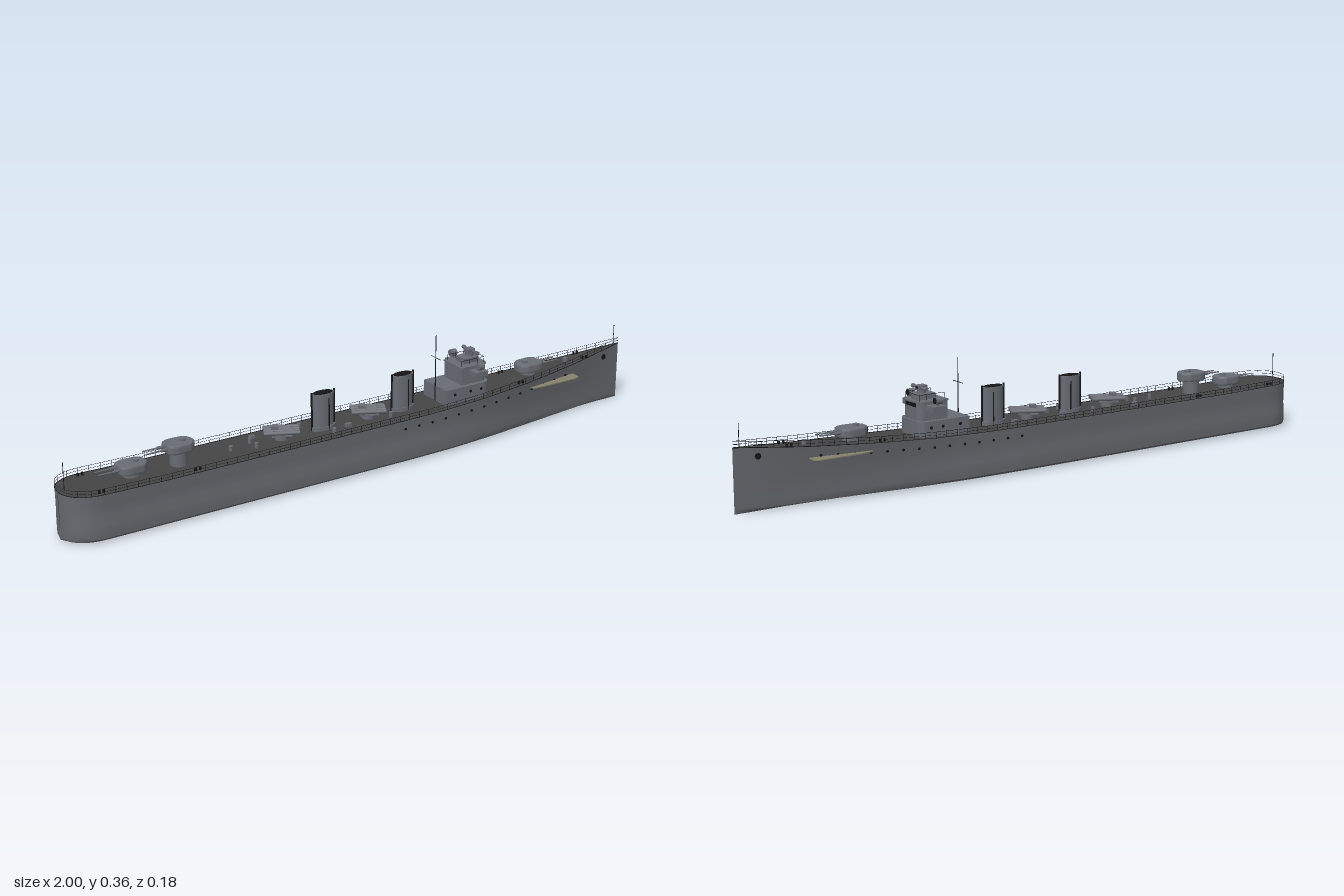
import * as THREE from 'three';
import { mergeGeometries, toCreasedNormals } from 'three/addons/utils/BufferGeometryUtils.js';

const mat = (name, color, side = THREE.FrontSide) => {
  const m = new THREE.MeshStandardMaterial({ color, side });
  m.name = name;
  return m;
};

// Piecewise-linear lookup
const lerpTable = (table, x) => {
  if (x <= table[0][0]) return table[0][1];
  for (let i = 1; i < table.length; i++) {
    const [x0, a] = table[i - 1], [x1, b] = table[i];
    if (x <= x1) return a + (b - a) * (x - x0) / (x1 - x0);
  }
  return table[table.length - 1][1];
};
const SHEER = [[-1, .148], [-.7, .143], [.2, .143], [.4, .148], [.6, .158], [.8, .171], [1, .189]];
const DECK = [[.1, .087], [.3, .084], [.42, .079], [.55, .069], [.68, .054], [.8, .036], [.9, .019], [1, .0008]];
const WATER = [[.1, .09], [.28, .086], [.42, .074], [.55, .058], [.68, .041], [.8, .025], [.9, .012], [1, .0008]];
const deckY = x => lerpTable(SHEER, x);
const sternRound = x => x > -.89 ? 1 : Math.max(.02, Math.pow(1 - Math.pow((-.89 - x) / .11, 2.3), 1 / 2.3));
const deckHalf = x => lerpTable(DECK, x) * sternRound(x);
const waterHalf = x => lerpTable(WATER, x) * sternRound(x);

// Half section from deck edge down to keel: [z, y]
const section = x => {
  const d = deckHalf(x), w = waterHalf(x), h = deckY(x);
  return [[d, h], [d * .55 + w * .42, h * .75], [d * .2 + w * .755, .078], [w, .056],
    [w, .03], [w * .995, .016], [w * .93, .009], [w * .5, .004], [0, .001]];
};
const hullZ = (x, y) => lerpTable(section(x).map(([z, v]) => [v, z]).reverse(), y);

const STATIONS = [];
for (let i = 0; i < 12; i++) STATIONS.push(-.89 - .11 * Math.cos(i / 12 * Math.PI / 2));
for (let i = 0; i <= 44; i++) STATIONS.push(-.89 + 1.89 * i / 44);

function loft(rings) {
  const p = [];
  for (let i = 0; i < rings.length - 1; i++) for (let j = 0; j < rings[i].length - 1; j++) {
    const a = rings[i][j], b = rings[i][j + 1], c = rings[i + 1][j + 1], d = rings[i + 1][j];
    p.push(...a, ...b, ...c, ...a, ...c, ...d);
  }
  const g = new THREE.BufferGeometry();
  g.setAttribute('position', new THREE.Float32BufferAttribute(p, 3));
  g.computeVertexNormals();
  return toCreasedNormals(g, .6);
}

export function createModel() {
  const ship = new THREE.Group();
  ship.name = 'warship';
  const hullGrey = mat('hull grey', 0x65686d, THREE.DoubleSide);
  const grey = mat('superstructure grey', 0x686c73);
  const deckGrey = mat('deck dark grey', 0x454546);
  const black = mat('black fittings', 0x141416);
  const khaki = mat('platform khaki', 0x85836c, THREE.DoubleSide);

  const add = (name, geo, m, x = 0, y = 0, z = 0, parent = ship) => {
    const o = new THREE.Mesh(geo, m);
    o.name = name;
    o.position.set(x, y, z);
    parent.add(o);
    return o;
  };
  const box = (w, h, d) => new THREE.BoxGeometry(w, h, d);
  const cyl = (r, h, n = 16, r2 = r) => new THREE.CylinderGeometry(r2, r, h, n);
  const alongX = g => g.rotateZ(-Math.PI / 2);
  const alongZ = g => g.rotateX(Math.PI / 2);
  const group = (name, x, y, z = 0, ry = 0) => {
    const g = new THREE.Group();
    g.name = name;
    g.position.set(x, y, z);
    g.rotation.y = ry;
    ship.add(g);
    return g;
  };

  // Hull shell, stern plate and deck
  const rings = STATIONS.map(x => {
    const s = section(x);
    return [...s.map(([z, y]) => [x, y, z]), ...s.slice(0, -1).reverse().map(([z, y]) => [x, y, -z])];
  });
  add('hull', loft(rings), hullGrey);
  add('deck', loft(STATIONS.map(x => [[x, deckY(x) - .0005, -deckHalf(x)], [x, deckY(x) - .0005, deckHalf(x)]])), deckGrey);

  // Deck edge strip, guard rails and stanchions
  const railParts = [];
  for (const s of [-1, 1]) {
    for (const [dy, r] of [[0, .0012], [.009, .0005], [.018, .0006]]) {
      const pts = STATIONS.map(x => new THREE.Vector3(x, deckY(x) + dy, s * deckHalf(x) * .985));
      railParts.push(new THREE.TubeGeometry(new THREE.CatmullRomCurve3(pts), 130, r, 4));
    }
    for (let x = -.97; x < .99; x += .035)
      railParts.push(cyl(.0007, .018, 5).translate(x, deckY(x) + .009, s * deckHalf(x) * .985));
  }
  add('guardRails', mergeGeometries(railParts), black);

  // Portholes, anchor pipes and side platforms
  for (const s of [-1, 1]) {
    for (let x = .1; x < .76; x += .05) {
      const y = deckY(x) - .027;
      add('porthole', alongZ(cyl(.004, .004, 12)), black, x, y, s * hullZ(x, y));
    }
    add('anchorPipe', alongZ(cyl(.009, .005, 14)), black, .93, .158, s * hullZ(.93, .158));
    const plan = new THREE.Shape([[.59, .05], [.6, .068], [.63, .073], [.77, .073], [.785, .066], [.785, .03]]
      .map(([x, z]) => new THREE.Vector2(x, s * z)));
    const plate = new THREE.ExtrudeGeometry(plan, { depth: .003, bevelEnabled: false }).rotateX(Math.PI / 2);
    add('sidePlatform', plate, khaki, 0, .137, 0);
  }

  // Gun mounts: rounded gunhouse on a ring, twin barrels
  const housePlan = new THREE.Shape();
  housePlan.moveTo(.04, -.02);
  housePlan.lineTo(.04, .02);
  housePlan.quadraticCurveTo(.03, .033, .01, .033);
  housePlan.lineTo(-.025, .031);
  housePlan.quadraticCurveTo(-.046, .02, -.046, 0);
  housePlan.quadraticCurveTo(-.046, -.02, -.025, -.031);
  housePlan.lineTo(.01, -.033);
  housePlan.quadraticCurveTo(.03, -.033, .04, -.02);
  const houseGeo = new THREE.ExtrudeGeometry(housePlan, {
    depth: .016, bevelThickness: .006, bevelSize: .004, bevelOffset: -.002, bevelSegments: 2, curveSegments: 6
  }).rotateX(-Math.PI / 2);
  const turret = (name, x, lift, ry) => {
    const g = group(name, x, deckY(x), 0, ry);
    add('gunRing', cyl(.026, lift + .014, 24), grey, 0, (lift + .014) / 2, 0, g);
    add('gunhouse', houseGeo, grey, 0, lift + .018, 0, g);
    add('roofHatch', cyl(.009, .006, 14), grey, -.015, lift + .043, 0, g);
    for (const z of [-.012, .012]) {
      add('barrelSleeve', alongX(cyl(.0045, .025, 10)), grey, .048, lift + .028, z, g);
      add('barrel', alongX(cyl(.0028, .065, 10, .002)), grey, .075, lift + .028, z, g);
    }
  };
  turret('forwardGun', .63, 0, 0);
  turret('aftGun', -.775, 0, Math.PI);
  turret('upperAftGun', -.625, .03, Math.PI);

  // Torpedo tube mounts, trained slightly off the centreline
  for (const [x, ry] of [[-.285, -.45], [.02, -.45]]) {
    const g = group('torpedoMount', x, deckY(x), 0, ry);
    add('turntable', cyl(.02, .016, 20), grey, 0, .008, 0, g);
    add('mountBed', box(.06, .005, .058), grey, 0, .018, 0, g);
    for (const z of [-.024, -.008, .008, .024]) add('tube', alongX(cyl(.0068, .105, 12)), grey, 0, .027, z, g);
    add('aimingCab', box(.02, .012, .022), grey, -.018, .036, 0, g);
  }

  // Oval funnels with black caps and steam pipes
  for (const x of [-.14, .145]) {
    const g = group('funnel', x, deckY(x));
    const oval = (r, h, y, name, m) => add(name, cyl(r, h, 32).scale(1, 1, .52), m, 0, y, 0, g);
    oval(.041, .012, .006, 'funnelBase', grey);
    oval(.035, .115, .0575, 'funnelBody', grey);
    oval(.037, .005, .112, 'funnelRim', grey);
    oval(.032, .003, .115, 'funnelMouth', black);
    for (const sx of [-1, 1]) add('steamPipe', cyl(.003, .12, 8), black, sx * .039, .06, 0, g);
    for (const sz of [-1, 1]) add('sidePipe', cyl(.0018, .1, 8), black, .01, .05, sz * .019, g);
  }

  // Bridge structure
  const bridge = group('bridge', 0, .142);
  const frontPlan = (x0, x1, hw, h) => {
    const s = new THREE.Shape();
    const r = hw * .45;
    s.moveTo(x0, -hw);
    s.lineTo(x1 - r, -hw);
    s.quadraticCurveTo(x1, -hw, x1, -hw + r);
    s.lineTo(x1, hw - r);
    s.quadraticCurveTo(x1, hw, x1 - r, hw);
    s.lineTo(x0, hw);
    return toCreasedNormals(new THREE.ExtrudeGeometry(s, { depth: h, bevelEnabled: false, curveSegments: 8 }).rotateX(-Math.PI / 2), .5);
  };
  add('deckhouse', frontPlan(.268, .435, .06, .052), grey, 0, 0, 0, bridge);
  add('wheelhouse', frontPlan(.335, .43, .046, .109), grey, 0, 0, 0, bridge);
  add('bridgeRoof', frontPlan(.332, .434, .048, .004), grey, 0, .105, 0, bridge);
  for (let i = -2; i <= 2; i++) add('bridgeWindow', box(.003, .011, .0095), black, .4297, .097, i * .0115, bridge);
  for (const s of [-1, 1]) {
    add('bridgeWing', box(.045, .016, .045), grey, .385, .09, s * .061, bridge);
    add('lampPost', cyl(.004, .014, 10), grey, .385, .103, s * .073, bridge);
    add('searchlight', alongX(cyl(.0115, .02, 18)), grey, .385, .114, s * .073, bridge);
    add('searchlightLens', alongX(cyl(.009, .002, 18)), black, .3955, .114, s * .073, bridge);
    for (const x of [.3, .36, .4]) add('deckhousePorthole', alongZ(cyl(.0045, .003, 12)), black, x, .033, s * .06, bridge);
    for (const x of [.34, .37, .4, .425]) add('roofPost', cyl(.0007, .018, 5), black, x, .118, s * .037, bridge);
    add('roofRail', box(.085, .001, .001), black, .3825, .127, s * .037, bridge);
  }
  add('frontRoofRail', box(.001, .001, .074), black, .425, .127, 0, bridge);
  add('compassPlatform', frontPlan(.36, .42, .022, .017), grey, 0, .109, 0, bridge);
  add('directorBase', cyl(.013, .014, 18), grey, .395, .132, 0, bridge);
  add('director', box(.028, .014, .024), grey, .395, .142, 0, bridge);
  add('rangefinder', alongZ(cyl(.0045, .076, 12)), grey, .4, .142, 0, bridge);
  for (const s of [-1, 1]) add('rangefinderEnd', alongZ(cyl(.006, .01, 12)), grey, .4, .142, s * .034, bridge);
  add('directorSlot', box(.002, .006, .012), black, .409, .143, 0, bridge);

  // Mast, yard and flagstaffs
  add('mast', cyl(.0022, .215, 8, .001), black, .268, .2505);
  add('yard', alongZ(cyl(.001, .05, 6)), black, .268, .285);
  add('sternStaff', cyl(.001, .085, 6), black, -.98, .19);
  add('bowStaff', cyl(.001, .068, 6), black, .98, .221);

  // Deck fittings: ventilators, lockers, winch, bollards
  for (const [x, z] of [[-.455, 0], [-.38, .02], [-.38, -.02], [-.2, -.04], [.08, .035], [-.13, .048]])
    add('ventilator', cyl(.006, .016, 12), grey, x, deckY(x) + .008, z);
  for (const [x, z] of [[-.36, -.045], [-.07, .03], [.09, -.035], [-.09, -.03]])
    add('locker', box(.018, .011, .012), grey, x, deckY(x) + .0055, z);
  add('capstan', cyl(.008, .012, 14), grey, .78, deckY(.78) + .006, 0);
  for (const x of [-.9, -.6, .56, .84]) for (const s of [-1, 1])
    for (const dx of [-.007, .007])
      add('bollard', cyl(.0035, .009, 10), black, x + dx, deckY(x) + .0045, s * deckHalf(x) * .8);
  return ship;
}
